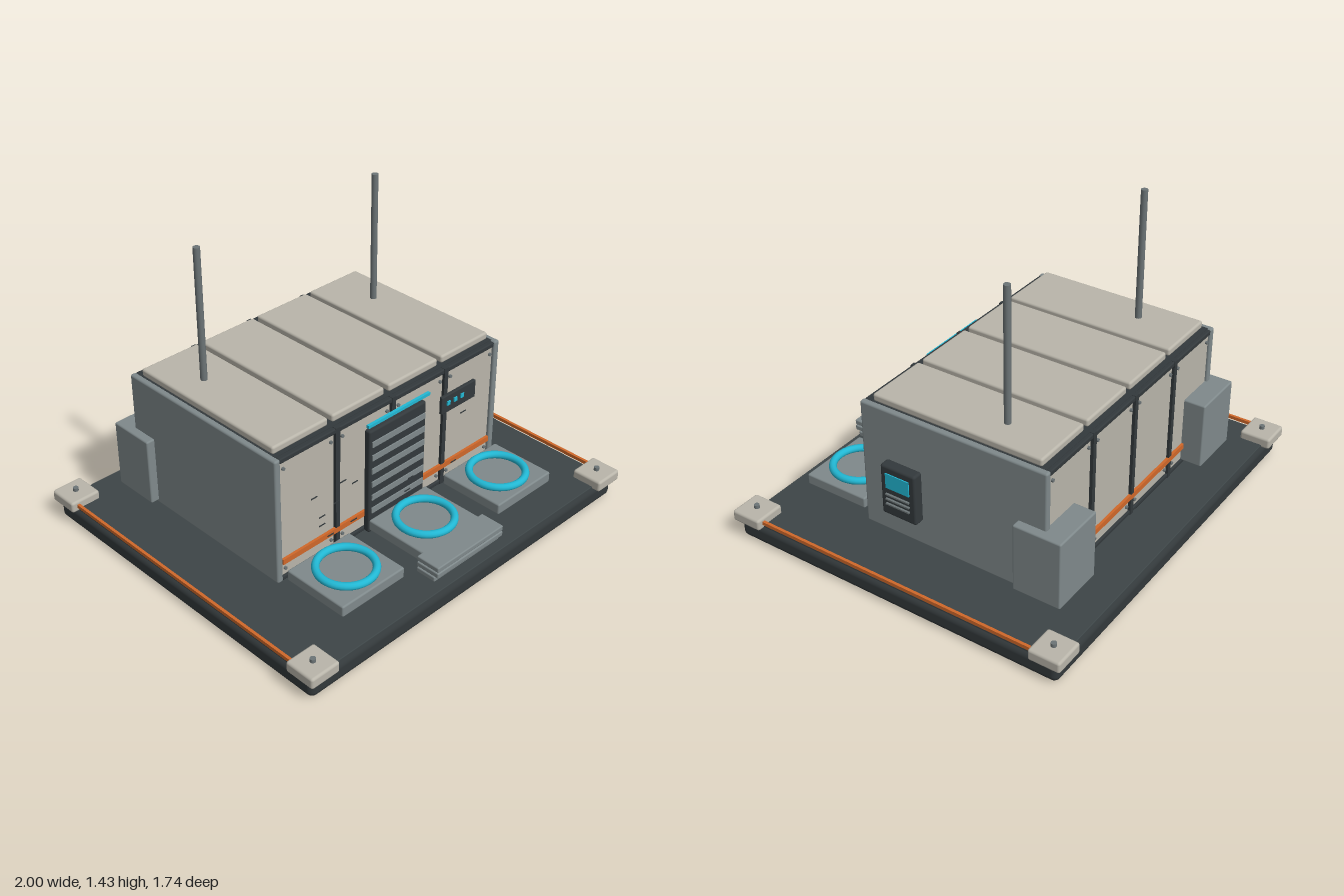
import * as THREE from 'three';
import { RoundedBoxGeometry } from 'three/addons/geometries/RoundedBoxGeometry.js';

const paint = (color) => new THREE.MeshStandardMaterial({ color });

export function createModel() {
  const model = new THREE.Group();
  const M = {
    base: paint(0x33393b), deck: paint(0x3d4547), dark: paint(0x33393c),
    grey: paint(0x7f898b), beige: paint(0xb9b5aa), orange: paint(0xd0682a),
    cyan: paint(0x22b8d4), metal: paint(0x6c7476),
  };

  const add = (name, geometry, mat, x, y, z) => {
    const mesh = new THREE.Mesh(geometry, mat);
    mesh.name = name;
    mesh.position.set(x, y, z);
    model.add(mesh);
    return mesh;
  };
  // Box given by its limits on each axis, with optional rounded edges
  const box = (name, mat, [x0, x1], [y0, y1], [z0, z1], r = 0) => {
    const s = [x1 - x0, y1 - y0, z1 - z0];
    const g = r ? new RoundedBoxGeometry(...s, 3, r) : new THREE.BoxGeometry(...s);
    return add(name, g, mat, (x0 + x1) / 2, (y0 + y1) / 2, (z0 + z1) / 2);
  };
  const span = (c, size) => [c - size / 2, c + size / 2];

  // Base slab and deck
  box('baseSlab', M.base, [-0.98, 0.98], [0, 0.095], [-0.845, 0.845], 0.03);
  box('deck', M.deck, [-0.965, 0.965], [0.085, 0.1], [-0.83, 0.83], 0.004);

  // Corner feet with bolts, and side light strips
  for (const sx of [-1, 1]) {
    for (const sz of [-1, 1]) {
      box('cornerBlock', M.beige, span(sx * 0.923, 0.154), [0.085, 0.14], span(sz * 0.793, 0.154), 0.012);
      add('cornerBolt', new THREE.CylinderGeometry(0.013, 0.013, 0.02, 12), M.metal, sx * 0.923, 0.147, sz * 0.793);
    }
    box('edgeStrip', M.orange, span(sx * 0.966, 0.014), [0.107, 0.124], [-0.72, 0.72]);
  }

  // Building core, end walls and back corner units
  box('core', M.dark, [-0.67, 0.67], [0.125, 0.755], [-0.585, 0.315]);
  for (const s of [-1, 1]) {
    box('endWall', M.grey, span(s * 0.68, 0.032), [0.125, 0.755], [-0.605, 0.342], 0.01);
    box('cornerUnit', M.grey, span(s * 0.602, 0.27), [0.14, 0.475], [-0.7, -0.465], 0.008);
    add('mast', new THREE.CylinderGeometry(0.016, 0.016, 0.66, 12), M.metal, s * 0.525, 1.1, -0.3);
  }

  // Roof panels
  const bays = [-0.508, -0.17, 0.17, 0.508];
  for (const x of bays) box('roofPanel', M.beige, span(x, 0.312), [0.752, 0.79], [-0.56, 0.295], 0.011);

  // Front and back walls: panels, rivets, pillars, rails and stripe
  for (const [face, out] of [[0.328, 1], [-0.593, -1]]) {
    for (const x of bays) {
      box('wallPanel', M.beige, span(x, 0.312), [0.145, 0.73], span(face - out * 0.01, 0.02), 0.004);
      for (const dx of [-0.135, 0.135]) for (const y of [0.18, 0.695]) {
        const rivet = add('rivet', new THREE.CylinderGeometry(0.008, 0.008, 0.012, 10), M.metal, x + dx, y, face + out * 0.003);
        rivet.rotation.x = Math.PI / 2;
      }
    }
    for (const x of [-0.338, 0, 0.338]) box('pillar', M.dark, span(x, 0.024), [0.125, 0.755], span(face, 0.024));
    for (const [y0, y1] of [[0.125, 0.147], [0.728, 0.753]]) {
      box('rail', M.dark, [-0.665, 0.665], [y0, y1], span(face - out * 0.004, 0.028), 0.006);
    }
    box('stripe', M.orange, [-0.662, 0.662], [0.21, 0.237], span(face + out * 0.006, 0.014));
  }

  // Shutter door with slats and light bar
  box('shutter', M.dark, [-0.178, 0.176], [0.13, 0.67], [0.335, 0.37], 0.01);
  for (let i = 0; i < 6; i++) {
    box('slat', M.grey, [-0.165, 0.165], span(0.6 - i * 0.07, 0.028), [0.36, 0.376]);
  }
  box('lightBar', M.cyan, [-0.195, 0.187], [0.7, 0.715], [0.366, 0.38]);

  // Front status box
  box('statusBox', M.dark, [0.24, 0.465], [0.58, 0.67], [0.388, 0.406], 0.005);
  for (const x of [0.28, 0.325, 0.37]) box('statusLamp', M.cyan, span(x, 0.02), span(0.63, 0.02), [0.404, 0.412]);

  // Wear marks across the front
  const marks = [[-0.515, 0.505], [-0.47, 0.385], [-0.47, 0.34], [-0.42, 0.26], [-0.385, 0.415], [-0.345, 0.505],
    [-0.275, 0.465], [-0.28, 0.265], [0.05, 0.44], [0.08, 0.31], [0.06, 0.25], [0.37, 0.255], [0.42, 0.505]];
  for (const [x, y] of marks) box('wearMark', M.dark, span(x, 0.035), span(y, 0.005), [0.376, 0.379]);

  // Side console with screen and vents
  box('console', M.dark, [0.69, 0.745], [0.255, 0.51], [0.025, 0.21], 0.012);
  box('consoleScreen', M.cyan, [0.74, 0.75], [0.4, 0.475], [0.055, 0.18]);
  for (const y of [0.318, 0.343, 0.368]) box('consoleVent', M.metal, [0.743, 0.755], span(y, 0.007), [0.055, 0.18]);

  // Landing pads with glowing rings
  for (const x of [-0.49, 0, 0.49]) {
    box('pad', M.grey, span(x, 0.366), [0.155, 0.21], [0.375, 0.708], 0.008);
    const ring = add('padRing', new THREE.TorusGeometry(0.13, 0.018, 12, 48), M.cyan, x, 0.224, 0.542);
    ring.rotation.x = Math.PI / 2;
  }

  // Steps in front of the middle pad
  for (let i = 0; i < 3; i++) {
    box('step', M.grey, [-0.214, 0.21], span(0.137 + i * 0.03, 0.026), [0.692, i ? 0.815 : 0.795], 0.006);
  }
  return model;
}
